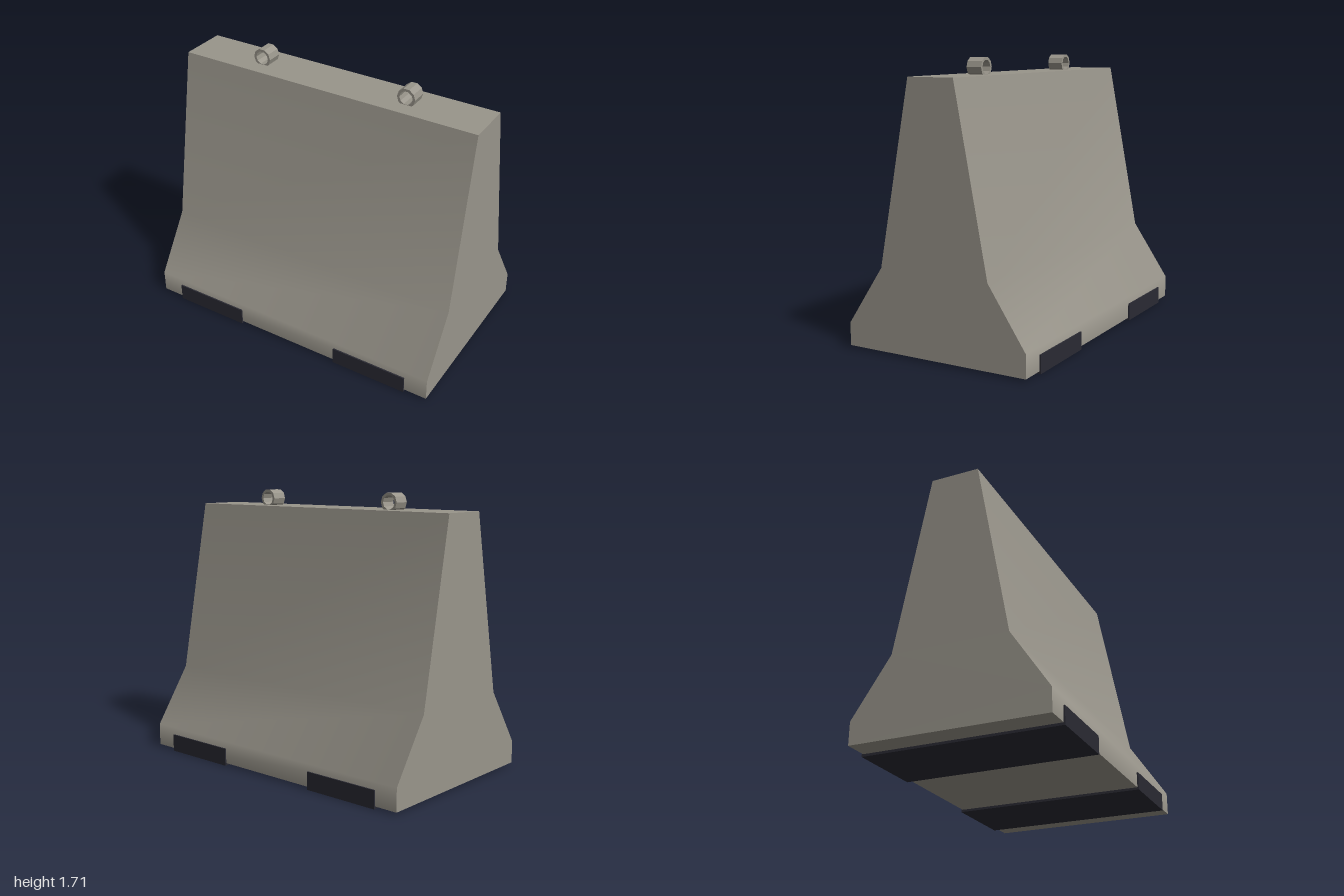
import * as THREE from 'three';

// Half profile of the barrier, top to bottom: [depth, height]
const PROFILE = [[0.15, 1.615], [0.36, 0.515], [0.6, 0.155], [0.6, 0.015]];

export function createModel() {
  const concrete = new THREE.MeshStandardMaterial({ color: 0x99958b });
  concrete.name = 'concrete';
  const rubber = new THREE.MeshStandardMaterial({ color: 0x2a2a33 });
  rubber.name = 'dark rubber';

  const model = new THREE.Group();
  model.name = 'roadBarrier';
  const add = (parent, name, geometry, material) => {
    const mesh = new THREE.Mesh(geometry, material);
    mesh.name = name;
    parent.add(mesh);
    return mesh;
  };

  const body = new THREE.Group();
  body.name = 'barrierBody';
  model.add(body);

  // Sloping faces: a strip bent along the profile, smooth within itself
  const face = new THREE.PlaneGeometry(2, 1, 1, PROFILE.length - 1);
  const pos = face.attributes.position;
  for (let i = 0; i < pos.count; i++) {
    const [z, y] = PROFILE[Math.floor(i / 2)];
    pos.setY(i, y);
    pos.setZ(i, z);
  }
  face.computeVertexNormals();
  add(body, 'frontFace', face, concrete);
  add(body, 'backFace', face.clone().rotateY(Math.PI), concrete);

  // End caps
  const outline = [...PROFILE, ...[...PROFILE].reverse().map(([z, y]) => [-z, y])];
  const cap = new THREE.ShapeGeometry(new THREE.Shape(outline.map(([z, y]) => new THREE.Vector2(z, y))));
  cap.translate(0, 0, 1);
  add(body, 'leftEnd', cap.clone().rotateY(Math.PI / 2), concrete);
  add(body, 'rightEnd', cap.clone().rotateY(-Math.PI / 2), concrete);

  // Top and underside
  add(body, 'topFace', new THREE.PlaneGeometry(2, 0.3).rotateX(-Math.PI / 2), concrete).position.y = 1.615;
  add(body, 'underside', new THREE.PlaneGeometry(2, 1.2).rotateX(Math.PI / 2), concrete).position.y = 0.015;

  // Lifting loop: a ten-sided tube along z, its foot sunk into the top (extrusion is already faceted)
  const ring = new THREE.Shape().absarc(0, 0, 0.059, 0, Math.PI * 2);
  ring.holes.push(new THREE.Path().absarc(0, 0, 0.043, 0, Math.PI * 2, true));
  const loop = new THREE.ExtrudeGeometry(ring, { depth: 0.1, bevelEnabled: false, curveSegments: 5 });
  loop.translate(0, 0, -0.05);

  for (const [side, s] of [['left', 1], ['right', -1]]) {
    add(model, side + 'LiftingLoop', loop, concrete).position.set(0.5 * s, 1.658, 0);

    // Rubber foot wrapping under the barrier and up both sides
    const foot = new THREE.Group();
    foot.name = side + 'Foot';
    foot.position.x = 0.6 * s;
    model.add(foot);
    add(foot, 'footSole', new THREE.BoxGeometry(0.5, 0.015, 1.2), rubber).position.y = 0.0075;
    for (const z of [1, -1]) {
      add(foot, z > 0 ? 'frontLip' : 'backLip', new THREE.BoxGeometry(0.5, 0.11, 0.009), rubber)
        .position.set(0, 0.055, 0.6045 * z);
    }
  }
  return model;
}
